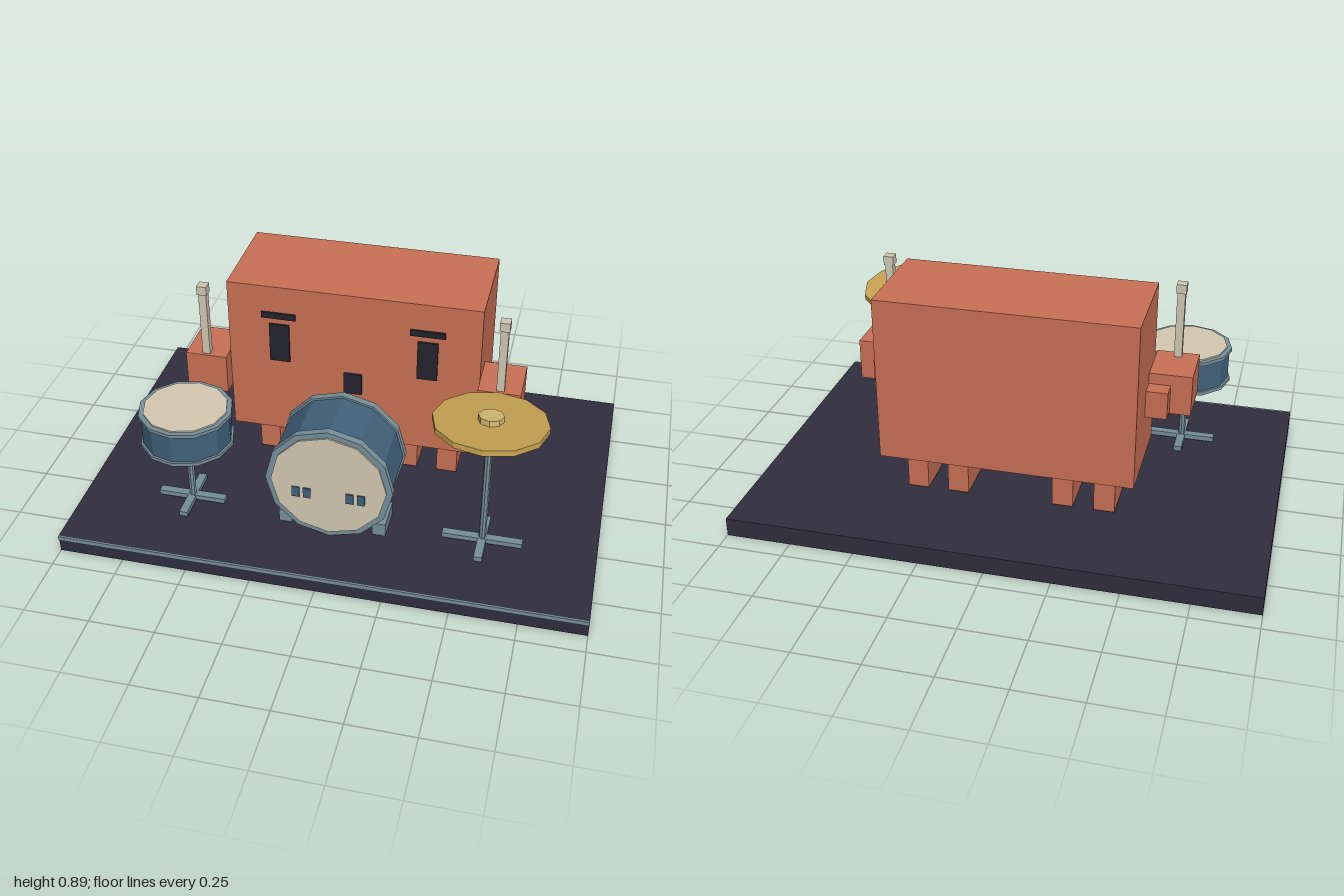
import * as THREE from 'three';

const material = (name, color) => {
  const m = new THREE.MeshStandardMaterial({ color });
  m.name = name;
  m.flatShading = true;
  return m;
};

export function createModel() {
  const mats = {
    clay: material('clay', 0xc97055),
    stage: material('stage', 0x302e3e),
    dark: material('dark', 0x24242f),
    shell: material('drum blue', 0x41617a),
    metal: material('metal', 0x758f98),
    skin: material('drum skin', 0xd3c9b1),
    wood: material('stick wood', 0xd0c8b2),
    brass: material('brass', 0xc6a252),
    bell: material('pale brass', 0xd2b873),
  };
  const model = new THREE.Group();
  model.name = 'drummer';

  const group = (name, x = 0, y = 0, z = 0, parent = model) => {
    const g = new THREE.Group();
    g.name = name;
    g.position.set(x, y, z);
    parent.add(g);
    return g;
  };
  const add = (name, geo, mat, parent) => {
    const m = new THREE.Mesh(geo, mat);
    m.name = name;
    parent.add(m);
    return m;
  };
  // Box from its minimum and maximum on each axis
  const box = (name, mat, [x0, x1], [y0, y1], [z0, z1], parent = model) => {
    const m = add(name, new THREE.BoxGeometry(x1 - x0, y1 - y0, z1 - z0), mat, parent);
    m.position.set((x0 + x1) / 2, (y0 + y1) / 2, (z0 + z1) / 2);
    return m;
  };
  // Upright cylinder between two heights
  const disc = (name, mat, r, y0, y1, parent, sides = 12) => {
    const m = add(name, new THREE.CylinderGeometry(r, r, y1 - y0, sides), mat, parent);
    m.position.y = (y0 + y1) / 2;
    return m;
  };
  const span = (s, a, b) => (s > 0 ? [a, b] : [-b, -a]);

  // Stage with a metal trim along the front edge
  box('stage', mats.stage, [-1, 1], [0, 0.073], [-0.675, 0.67]);
  box('stageTrim', mats.metal, [-1, 1], [0.055, 0.073], [0.67, 0.677]);

  // Blocky drummer
  const drummer = group('drummerBody');
  box('body', mats.clay, [-0.488, 0.488], [0.245, 0.892], [-0.368, 0.036], drummer);
  box('mouth', mats.dark, [-0.035, 0.035], [0.46, 0.55], [0.036, 0.045], drummer);
  for (const s of [-1, 1]) {
    box('outerLeg', mats.clay, span(s, 0.326, 0.407), [0.079, 0.245], [-0.288, -0.045], drummer);
    box('innerLeg', mats.clay, span(s, 0.165, 0.246), [0.079, 0.245], [-0.288, -0.045], drummer);
    box('eye', mats.dark, span(s, 0.248, 0.326), [0.57, 0.733], [0.036, 0.045], drummer);
    box('brow', mats.dark, span(s, 0.22, 0.353), [0.762, 0.786], [0.042, 0.051], drummer);
    box('shoulder', mats.clay, span(s, 0.488, 0.57), [0.437, 0.545], [-0.17, -0.05], drummer);
    box('arm', mats.clay, span(s, 0.488, 0.65), [0.428, 0.588], [-0.104, 0.095], drummer);
    box('drumstick', mats.wood, span(s, 0.556, 0.586), [0.588, 0.852], [0.054, 0.083], drummer);
    box('stickTip', mats.wood, span(s, 0.552, 0.59), [0.85, 0.886], [0.049, 0.088], drummer);
  }

  // Drum along its own y axis: shell, hoops and skins
  const drum = (parent, r, hoopR, skinR, y0, y1, hoopH) => {
    disc('shell', mats.shell, r, y0 + hoopH, y1 - hoopH, parent);
    for (const [a, b, end, dir] of [[y0, y0 + hoopH, y0, -1], [y1 - hoopH, y1, y1, 1]]) {
      disc('hoop', mats.metal, hoopR, a, b, parent);
      disc('skin', mats.skin, skinR, Math.min(end, end + dir * 0.006), Math.max(end, end + dir * 0.006), parent);
    }
  };

  // Bass drum, lying on its side
  const bass = group('bassDrum', 0, 0.315, 0);
  const bassBarrel = group('barrel', 0, 0, 0, bass);
  bassBarrel.rotation.x = Math.PI / 2;
  drum(bassBarrel, 0.235, 0.243, 0.22, 0.176, 0.437, 0.028);
  for (const s of [-1, 1]) {
    for (const x of [0.067, 0.11]) {
      box('skinMark', mats.shell, span(s, x, x + 0.029), [-0.065, -0.021], [0.442, 0.448], bass);
    }
    box('drumFoot', mats.metal, span(s, 0.157, 0.208), [-0.242, -0.188], [0.255, 0.394], bass);
  }

  // Cross-footed stand
  const stand = (parent, halfX, top) => {
    disc('pole', mats.metal, 0.014, 0.073, top, parent, 8);
    box('footAcross', mats.metal, [-halfX, halfX], [0.08, 0.1], [-0.016, 0.016], parent);
    box('footAlong', mats.metal, [-0.016, 0.016], [0.079, 0.099], [-0.121, 0.121], parent);
  };

  // Snare drum
  const snare = group('snareDrum', -0.573, 0, 0.341);
  stand(snare, 0.133, 0.37);
  drum(snare, 0.17, 0.179, 0.16, 0.366, 0.509, 0.014);

  // Tilted cymbal
  const cymbalStand = group('cymbalStand', 0.57, 0, 0.341);
  stand(cymbalStand, 0.152, 0.615);
  const cymbal = group('cymbal', 0, 0.627, 0, cymbalStand);
  cymbal.rotation.x = -0.105;
  disc('cymbalPlate', mats.brass, 0.21, -0.011, 0.011, cymbal);
  disc('cymbalBell', mats.bell, 0.047, 0.011, 0.033, cymbal, 8);

  return model;
}
